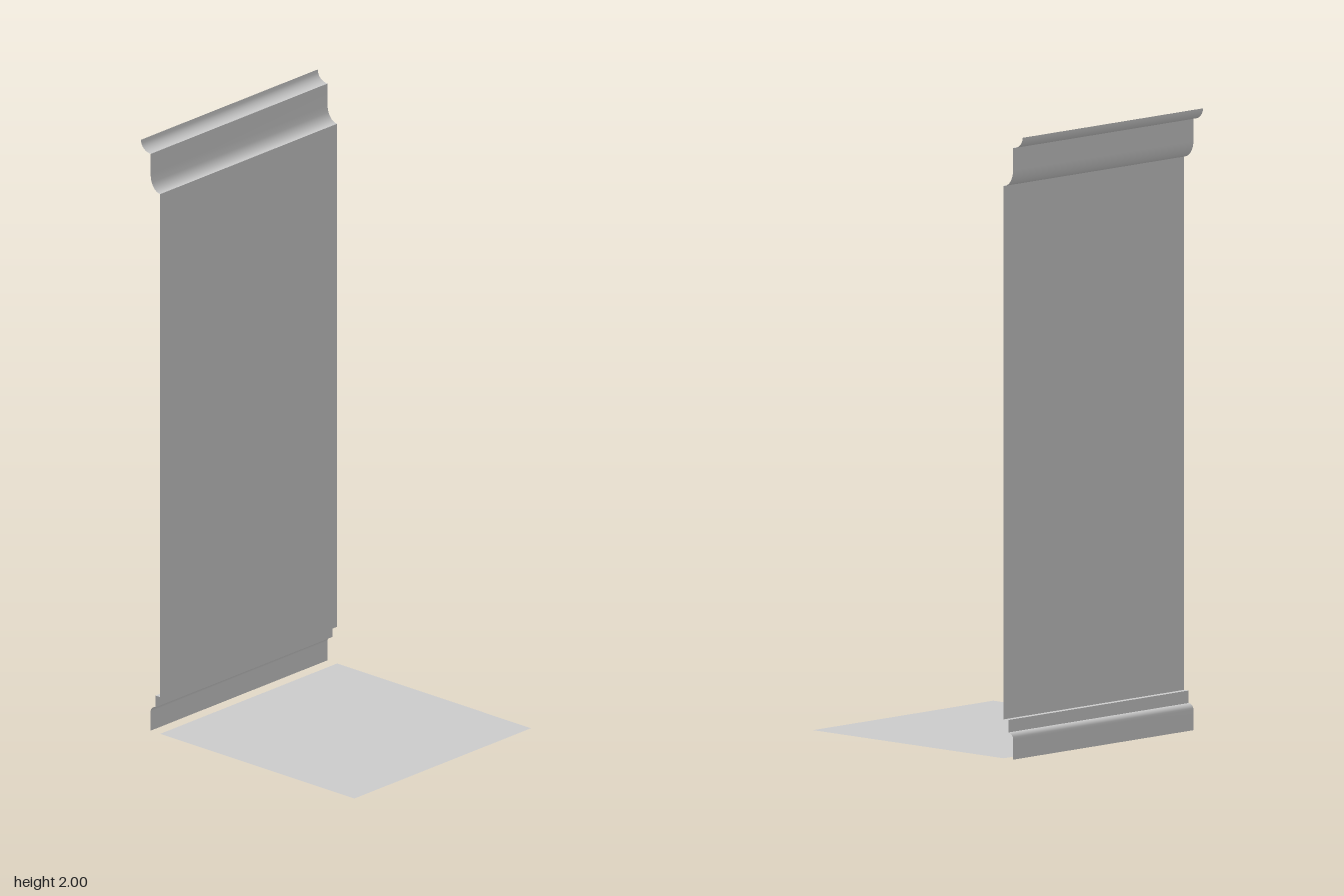
import * as THREE from 'three';

const HALF = 0.415;      // half the width
const WALL_Z = -0.377;   // plane of the wall
const material = new THREE.MeshStandardMaterial({ color: 0xcccccc, side: THREE.DoubleSide });

// Sweeps a [z, y] profile, listed bottom to top, across the width (front faces +z)
function ribbon(name, profile) {
  const positions = [], index = [];
  profile.forEach(([z, y], i) => {
    positions.push(-HALF, y, z, HALF, y, z);
    if (i === 0) return;
    const a = 2 * i - 2;
    index.push(a, a + 1, a + 3, a, a + 3, a + 2);
  });
  const geometry = new THREE.BufferGeometry();
  geometry.setAttribute('position', new THREE.Float32BufferAttribute(positions, 3));
  geometry.setIndex(index);
  geometry.computeVertexNormals();
  const mesh = new THREE.Mesh(geometry, material);
  mesh.name = name;
  return mesh;
}

// Quarter curve leaving (z, y) horizontally backwards and ending vertical
function cove(z, y, depth, rise, steps = 10) {
  return Array.from({ length: steps + 1 }, (_, i) => {
    const t = (i / steps) * Math.PI / 2;
    return [z - depth * Math.sin(t), y + rise * (1 - Math.cos(t))];
  });
}

function group(name, ...parts) {
  const g = new THREE.Group();
  g.name = name;
  g.add(...parts);
  return g;
}

export function createModel() {
  // Square floor sheet in front of the wall
  const floor = ribbon('floor', [[0.457, 0], [WALL_Z, 0]]);

  const wall = ribbon('wall', [[WALL_Z, 0.125], [WALL_Z, 1.837]]);

  // Cornice: two coves stepping back, with a flat band between
  const cornice = group('cornice',
    ribbon('corniceLower', [...cove(WALL_Z, 1.837, 0.041, 0.055), [-0.418, 1.963]]),
    ribbon('corniceUpper', cove(-0.418, 1.963, 0.042, 0.037)));

  // Baseboard: recessed ledge and band, then a small cove down to the floor
  const baseboard = group('baseboard',
    ribbon('baseboardLedge', [[-0.397, 0.125], [WALL_Z, 0.125]]),
    ribbon('baseboardBand', [[-0.397, 0.085], [-0.397, 0.125]]),
    ribbon('baseboardBoard', [[-0.418, 0], ...cove(-0.397, 0.085, 0.021, -0.02).reverse()]));

  return group('wallAndFloorSection', floor, wall, cornice, baseboard);
}
